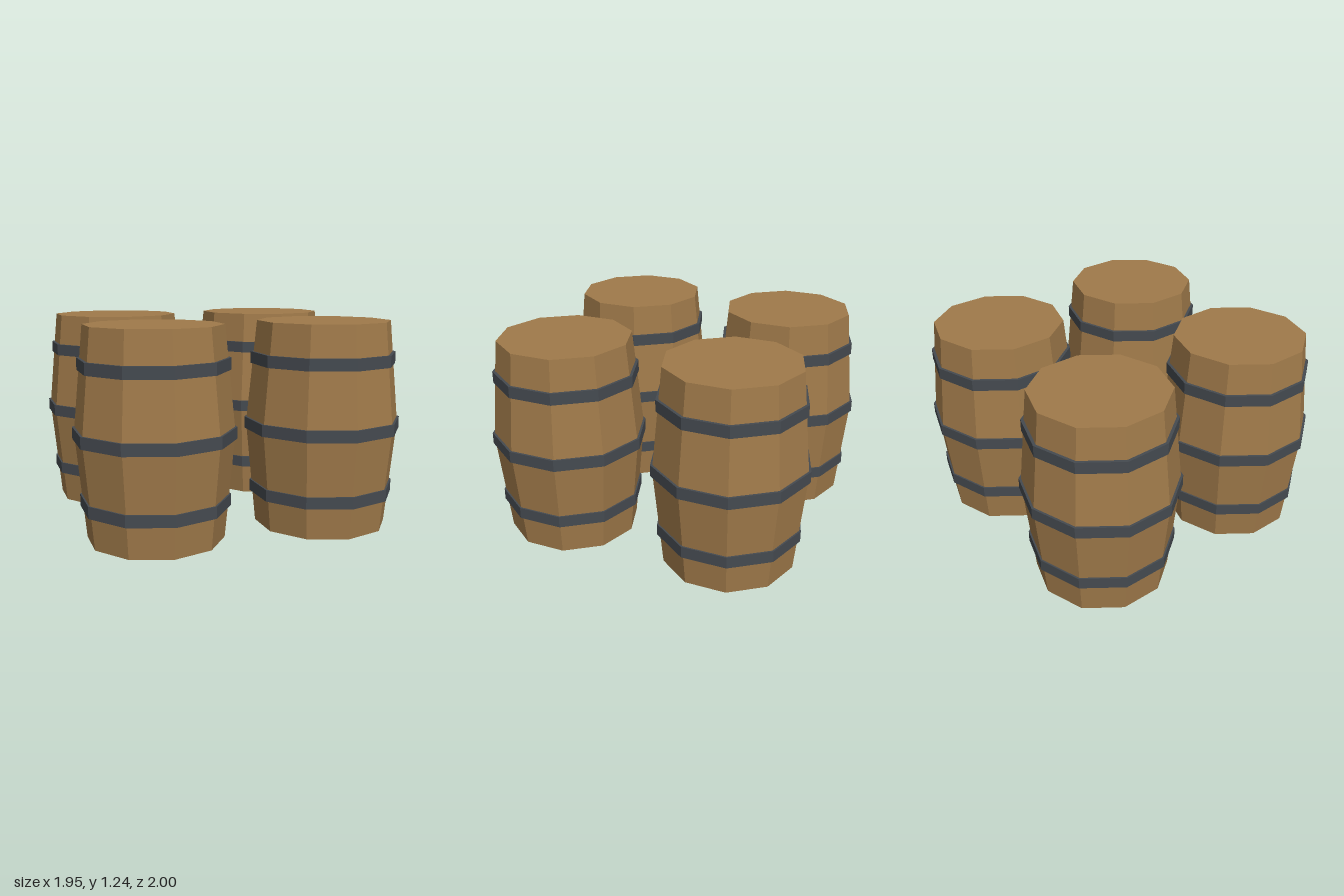
import * as THREE from 'three';

const SIDES = 10;
const HEIGHT = 1.24;
const END_RADIUS = 0.401;
const BELLY_RADIUS = 0.462;

const wood = new THREE.MeshStandardMaterial({ color: 0xa07a4a, flatShading: true });
const iron = new THREE.MeshStandardMaterial({ color: 0x454a50, flatShading: true });

function lathe(points, material, name) {
  const profile = points.map(([r, y]) => new THREE.Vector2(r, y));
  const mesh = new THREE.Mesh(new THREE.LatheGeometry(profile, SIDES), material);
  mesh.name = name;
  return mesh;
}

// One barrel: bulging closed body with three iron hoops
function createBarrel() {
  const barrel = new THREE.Group();
  barrel.name = 'barrel';

  barrel.add(lathe([
    [0, 0], [END_RADIUS, 0], [BELLY_RADIUS, HEIGHT / 2], [END_RADIUS, HEIGHT], [0, HEIGHT],
  ], wood, 'barrelBody'));

  // Hoops: upright rings whose inner edge sits inside the wood
  const half = 0.035;
  const hoops = [
    ['lowerHoop', 0.225, 0.437],
    ['middleHoop', 0.62, 0.4725],
    ['upperHoop', 1.015 + 0.003, 0.437],
  ];
  for (const [name, y, r] of hoops) {
    const inner = r - 0.04;
    barrel.add(lathe([
      [inner, y - half], [r, y - half], [r, y + half], [inner, y + half], [inner, y - half],
    ], iron, name));
  }
  return barrel;
}

export function createModel() {
  const model = new THREE.Group();
  model.name = 'barrelGroup';

  // Two by two arrangement
  for (const x of [-1, 1]) {
    for (const z of [-1, 1]) {
      const barrel = createBarrel();
      barrel.name = `${z > 0 ? 'front' : 'back'}${x > 0 ? 'Left' : 'Right'}Barrel`;
      barrel.position.set(x * 0.525, 0, z * 0.5275);
      model.add(barrel);
    }
  }
  return model;
}
